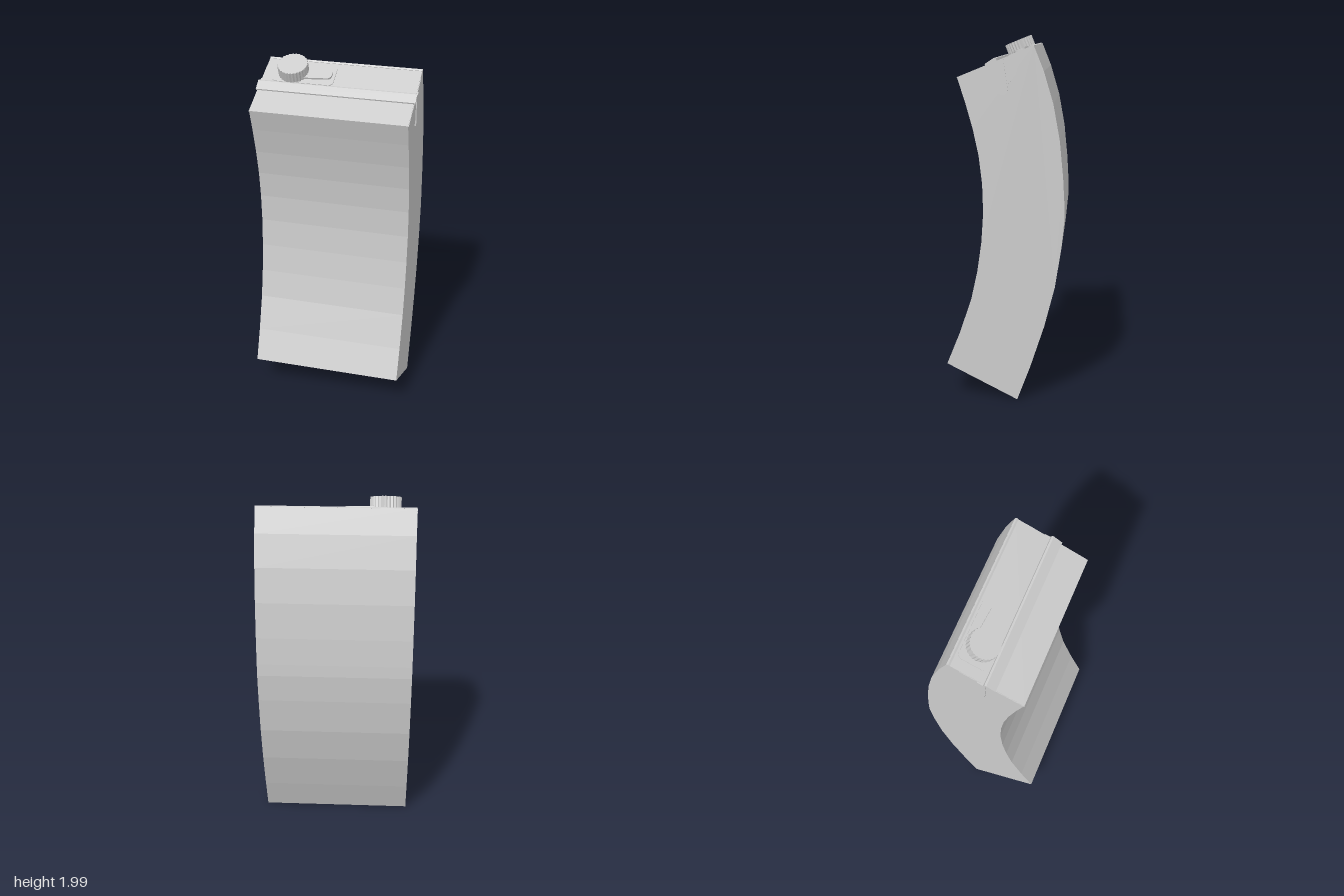
import * as THREE from 'three';

const carton = new THREE.MeshStandardMaterial({ color: 0xcccccc });
carton.name = 'carton grey';
carton.flatShading = true;

function part(name, geometry, parent) {
  const mesh = new THREE.Mesh(geometry, carton);
  mesh.name = name;
  parent.add(mesh);
  return mesh;
}

const toShape = (points) => new THREE.Shape(points.map(([a, b]) => new THREE.Vector2(a, b)));

// Extrude an outline through a given thickness along +z
function plate(points, depth) {
  return new THREE.ExtrudeGeometry(toShape(points), { depth, bevelEnabled: false });
}

// Side outline given as (z, y), spanning x0 to x1
function slab(points, x0, x1) {
  return plate(points, x1 - x0).rotateY(-Math.PI / 2).translate(x1, 0, 0);
}

// Plan outline given as (x, -z), rising from y = 0
const lid = (points, height) => plate(points, height).rotateX(-Math.PI / 2);

function smooth(points, count) {
  const curve = new THREE.SplineCurve(points.map(([a, b]) => new THREE.Vector2(a, b)));
  return curve.getPoints(count).map((p) => [p.x, p.y]);
}

// Rectangle with rounded corners that may taper towards its right end
function roundedPlan(x0, x1, z0, halfLeft, halfRight, r) {
  const pts = [];
  const corner = (cx, cy, start) => {
    for (let i = 0; i <= 4; i++) {
      const a = start + (i / 4) * Math.PI / 2;
      pts.push([cx + r * Math.cos(a), cy - z0 + r * Math.sin(a)]);
    }
  };
  corner(x1 - r, halfRight - r, 0);
  corner(x0 + r, halfLeft - r, Math.PI / 2);
  corner(x0 + r, -halfLeft + r, Math.PI);
  corner(x1 - r, -halfRight + r, Math.PI * 1.5);
  return pts;
}

export function createModel() {
  const model = new THREE.Group();
  model.name = 'curvedCarton';
  const W = 0.427;

  // Bent body with faceted front and back
  const front = smooth([[0.25, 1.785], [0.18, 1.56], [0.13, 1.32], [0.115, 1.06],
    [0.14, 0.79], [0.2, 0.52], [0.32, 0.205]], 10);
  const back = smooth([[-0.07, 0.006], [-0.19, 0.34], [-0.28, 0.684], [-0.32, 1.0],
    [-0.32, 1.135], [-0.297, 1.43], [-0.24, 1.72], [-0.154, 1.95]], 11);
  part('body', slab([...front, ...back].reverse(), -W, W), model);

  // Folded ears and their seam strips on both sides
  const ear = [[0.25, 1.782], [0.19, 1.765], [0.05, 1.735], [0, 1.72], [-0.06, 1.8], [-0.09, 1.92]];
  const strip = [[0.05, 1.865], [0.005, 1.88], [-0.02, 1.71], [0.005, 1.69], [0.04, 1.7]];
  for (const [side, label] of [[1, 'left'], [-1, 'right']]) {
    const span = (t) => (side > 0 ? [W, W + t] : [-W - t, -W]);
    part(label + 'Ear', slab(ear, ...span(0.003)), model);
    part(label + 'EarStrip', slab(strip, ...span(0.008)), model);
  }

  // Sloping top: local y is the top's normal
  const top = new THREE.Group();
  top.name = 'top';
  top.position.set(0, 1.907, -0.045);
  top.rotation.x = 0.386;
  model.add(top);

  part('seamFin', slab([[0.156, -0.004], [0.156, 0.006], [0.1, 0.017], [0.09, 0.013],
    [0.09, -0.004]], -0.436, 0.436), top);
  part('backFold', slab([[-0.1, -0.003], [-0.1, 0.001], [-0.11, 0.004], [-0.118, -0.003]], -W, W), top);
  part('spoutBase', lid(roundedPlan(-0.37, -0.03, -0.005, 0.083, 0.083, 0.025), 0.004), top);
  part('pullTab', lid(roundedPlan(-0.25, -0.047, 0, 0.048, 0.036, 0.025), 0.014), top);

  // Ribbed screw cap
  const ribs = 28;
  const rim = [];
  for (let i = 0; i < ribs * 2; i++) {
    const a = (i / (ribs * 2)) * Math.PI * 2;
    const r = i % 2 ? 0.079 : 0.084;
    rim.push([-0.262 + r * Math.cos(a), r * Math.sin(a)]);
  }
  part('cap', lid(rim, 0.066), top);
  part('capNeck', new THREE.CylinderGeometry(0.07, 0.07, 0.012, 24).translate(-0.262, 0.006, 0), top);

  // Sloping underside: local z is its outward normal
  const bottom = new THREE.Group();
  bottom.name = 'bottom';
  bottom.position.set(0, 0.1055, 0.125);
  bottom.rotation.x = 1.099;
  model.add(bottom);
  const flap = [[-0.405, 0.18], [-0.395, -0.13], [-0.255, -0.045], [-0.255, -0.015]];
  part('rightBottomFlap', plate(flap, 0.005), bottom);
  part('leftBottomFlap', plate(flap.map(([x, y]) => [-x, y]), 0.005), bottom);

  return model;
}
